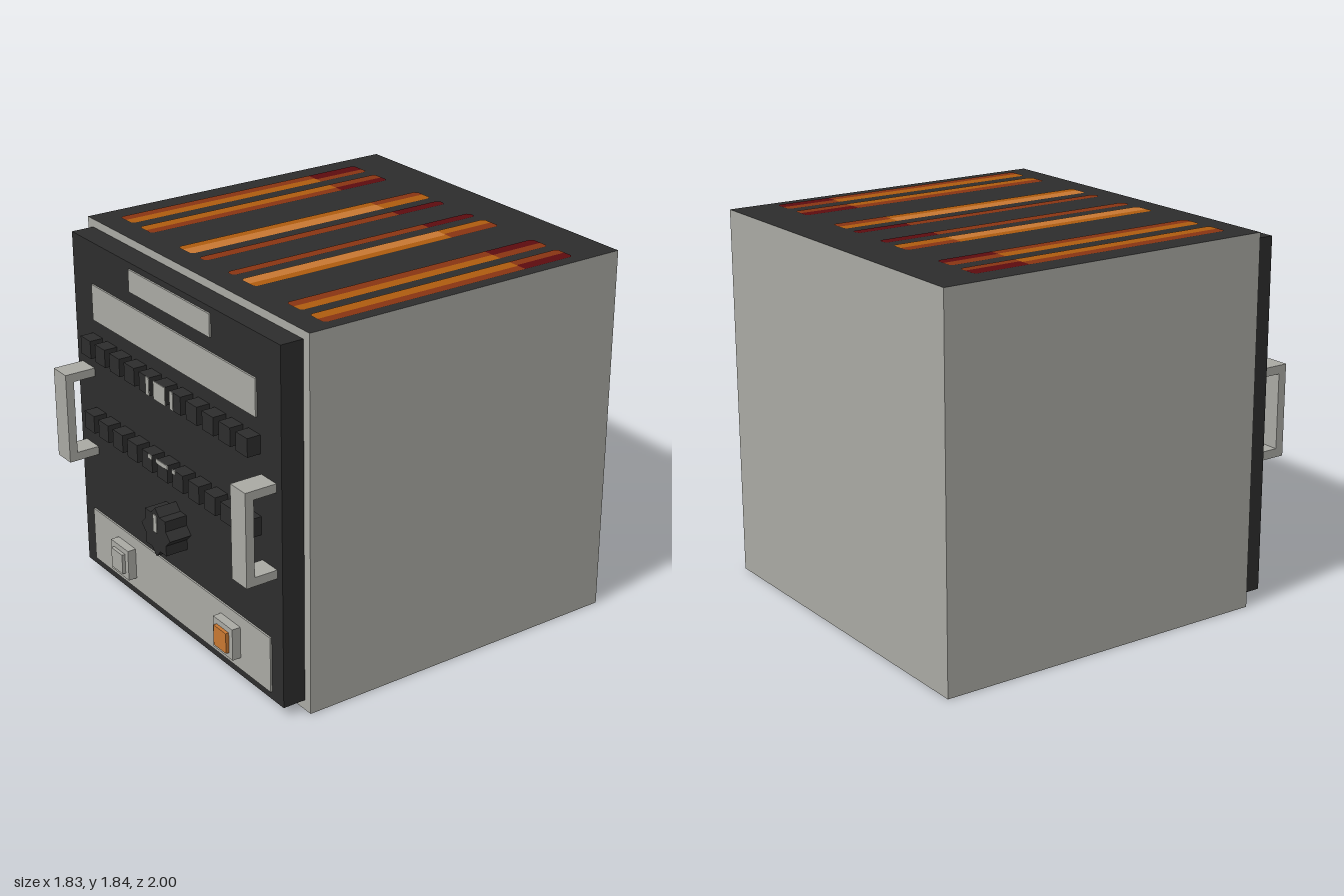
import * as THREE from 'three';

const mat = (name, color, extra = {}) => {
  const m = new THREE.MeshStandardMaterial({ color, ...extra });
  m.name = name;
  return m;
};

export function createModel() {
  const group = new THREE.Group();
  const grey = mat('casing grey', 0xaaaaa4);
  const dark = mat('charcoal', 0x2d2d2d);
  const pale = mat('bright glow', 0xc87832);
  const orange = mat('orange glow', 0xae5c0f);
  const rust = mat('rust glow', 0x893412);
  const red = mat('dark red glow', 0x5d0c0f);

  const add = (name, geo, material, parent = group) => {
    const m = new THREE.Mesh(geo, material);
    m.name = name;
    parent.add(m);
    return m;
  };
  // Box given by its extents on each axis
  const box = (name, material, x0, x1, y0, y1, z0, z1, parent = group) => {
    const m = add(name, new THREE.BoxGeometry(x1 - x0, y1 - y0, z1 - z0), material, parent);
    m.position.set((x0 + x1) / 2, (y0 + y1) / 2, (z0 + z1) / 2);
    return m;
  };

  // Casing with a dark top, and the raised front panel
  box('casing', [grey, grey, dark, grey, grey, grey], -0.915, 0.915, 0, 1.84, -1, 0.725);
  box('frontPanel', dark, -0.87, 0.87, 0.05, 1.8, 0.72, 0.84);

  // Plates on the panel
  const P = 0.84;
  box('namePlate', grey, -0.34, 0.34, 1.66, 1.77, P, 0.849);
  box('displayPlate', grey, -0.69, 0.69, 1.41, 1.59, P, 0.849);
  box('lowerPlate', grey, -0.78, 0.78, 0.09, 0.37, P, 0.849);

  // Two rows of keys; the middle three carry light markings
  for (const [y, markLow] of [[1.29, 1.245], [0.9, 0.925]]) {
    for (let i = -5; i <= 5; i++) {
      const x = i * 0.1335;
      box('key', dark, x - 0.045, x + 0.045, y - 0.045, y + 0.045, P, 0.908);
    }
    for (const [a, b] of [[-0.117, -0.089], [-0.05, 0.05], [0.089, 0.117]])
      box('keyMarking', grey, a, b, markLow, y + 0.045, 0.906, 0.911);
  }

  // Eight-pointed knob with pointer
  const star = new THREE.Shape();
  for (let i = 0; i < 16; i++) {
    const r = i % 2 ? 0.096 : 0.126, a = i * Math.PI / 8;
    star[i ? 'lineTo' : 'moveTo'](r * Math.cos(a), r * Math.sin(a));
  }
  const knob = add('knob', new THREE.ExtrudeGeometry(star, { depth: 0.115, bevelEnabled: false }), dark);
  knob.position.set(0, 0.6, P);
  box('knobPointer', grey, -0.015, 0.015, 0.6, 0.69, 0.952, 0.959);

  // Square push buttons
  for (const [side, cap] of [[-1, grey], [1, pale]]) {
    const x = side * 0.46;
    box('buttonBase', grey, x - 0.08, x + 0.08, 0.152, 0.312, 0.845, 0.893);
    box('buttonCap', cap, x - 0.051, x + 0.051, 0.18, 0.284, 0.89, 0.91);
  }

  // Side handles
  for (const side of [-1, 1]) {
    const handle = new THREE.Group();
    handle.name = side > 0 ? 'leftHandle' : 'rightHandle';
    group.add(handle);
    const x0 = side * 0.7725 - 0.0575, x1 = side * 0.7725 + 0.0575;
    box('grip', grey, x0, x1, 0.69, 1.15, 0.957, 1, handle);
    box('lowerArm', grey, x0, x1, 0.69, 0.733, P, 0.957, handle);
    box('upperArm', grey, x0, x1, 1.107, 1.15, P, 0.957, handle);
  }

  // Glowing slots: [x0, x1, front split, front colours, back split, back colours]
  const slots = [
    [-0.81, -0.695, -0.755, [rust, orange], -0.74, [red, rust]],
    [-0.632, -0.522, -0.572, [orange, rust], -0.575, [rust, red]],
    [-0.29, -0.172, -0.245, [orange, pale], -0.238, [rust, orange]],
    [-0.116, -0.058, -0.087, [rust, rust], -0.087, [red, red]],
    [0.116, 0.17, 0.143, [rust, rust], 0.143, [red, red]],
    [0.228, 0.343, 0.297, [pale, orange], 0.283, [orange, rust]],
    [0.577, 0.69, 0.633, [rust, orange], 0.636, [red, rust]],
    [0.747, 0.86, 0.81, [orange, rust], 0.8, [rust, red]],
  ];
  const zBack = -0.775, zMid = -0.49, zFront = 0.61, c = 0.015;
  // Flat strip with a chamfer at its outer end corner
  const strip = (outer, inner, zIn, zEnd, material) => {
    const dx = Math.sign(inner - outer) * c, dz = Math.sign(zIn - zEnd) * c;
    const pts = [[outer, zIn], [outer, zEnd + dz], [outer + dx, zEnd], [inner, zEnd], [inner, zIn]];
    const shape = new THREE.Shape(pts.map(([x, z]) => new THREE.Vector2(x, -z)));
    const geo = new THREE.ShapeGeometry(shape).rotateX(-Math.PI / 2);
    add('slotGlow', geo, material).position.y = 1.843;
  };
  for (const [x0, x1, fs, front, bs, back] of slots) {
    strip(x0, fs, zMid, zFront, front[0]);
    strip(x1, fs, zMid, zFront, front[1]);
    strip(x0, bs, zMid, zBack, back[0]);
    strip(x1, bs, zMid, zBack, back[1]);
  }
  return group;
}
